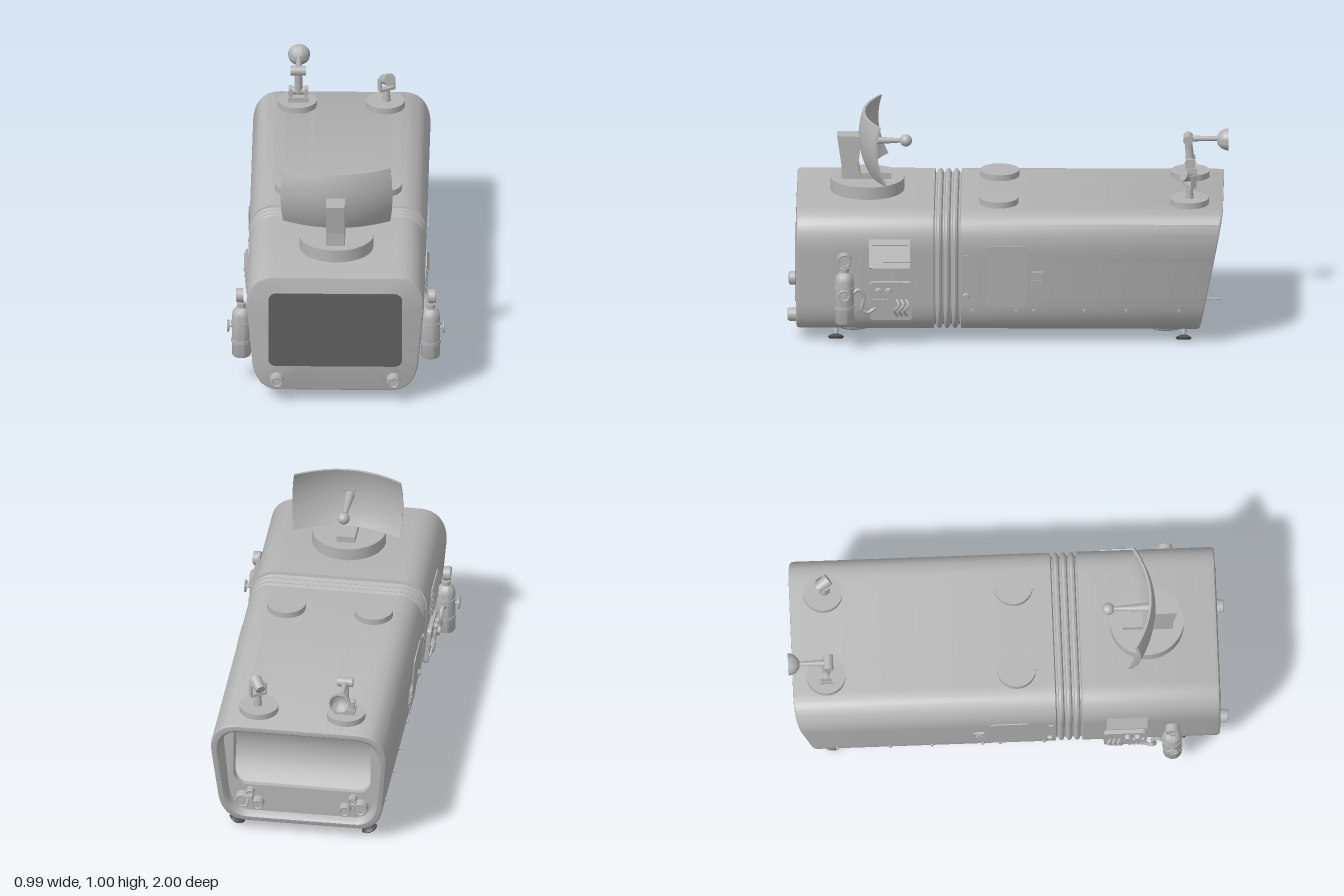
import * as THREE from 'three';
import { toCreasedNormals } from 'three/addons/utils/BufferGeometryUtils.js';
import { RoundedBoxGeometry } from 'three/addons/geometries/RoundedBoxGeometry.js';

export function createModel() {
  const root = new THREE.Group();
  const grey = new THREE.MeshStandardMaterial({ color: 0xb4b4b4 });
  grey.name = 'hullGrey';
  grey.side = THREE.DoubleSide;
  const dark = new THREE.MeshStandardMaterial({ color: 0x606060 });
  dark.name = 'screenDark';
  const rubber = new THREE.MeshStandardMaterial({ color: 0x505050 });
  rubber.name = 'footDark';

  const V = (x, y, z) => new THREE.Vector3(x, y, z);
  function add(name, geo, x = 0, y = 0, z = 0, parent = root, mat = grey) {
    const m = new THREE.Mesh(geo, mat);
    m.name = name;
    m.position.set(x, y, z);
    parent.add(m);
    return m;
  }
  function group(name, x = 0, y = 0, z = 0, parent = root) {
    const g = new THREE.Group();
    g.name = name;
    g.position.set(x, y, z);
    parent.add(g);
    return g;
  }
  const box = (x, y, z) => new THREE.BoxGeometry(x, y, z);
  const cyl = (r0, r1, h, n = 32) => new THREE.CylinderGeometry(r0, r1, h, n);
  const cylX = (r0, r1, h, n = 24) => cyl(r0, r1, h, n).rotateZ(-Math.PI / 2);
  const cylZ = (r0, r1, h, n = 24) => cyl(r0, r1, h, n).rotateX(Math.PI / 2);
  const lathe = (pts, n = 32) => toCreasedNormals(new THREE.LatheGeometry(pts.map(p => new THREE.Vector2(...p)), n), 0.6);
  const tube = (pts, r, n = 24) => new THREE.TubeGeometry(new THREE.CatmullRomCurve3(pts), n, r, 8);

  function rod(name, a, b, ra, rb, parent = root, mat = grey) {
    const m = add(name, cyl(rb, ra, a.distanceTo(b), 16), 0, 0, 0, parent, mat);
    m.position.copy(a).lerp(b, 0.5);
    m.quaternion.setFromUnitVectors(V(0, 1, 0), b.clone().sub(a).normalize());
    return m;
  }
  function roundRect(x0, y0, x1, y1, r, S = THREE.Shape) {
    const s = new S();
    s.moveTo(x0 + r, y0);
    s.lineTo(x1 - r, y0).absarc(x1 - r, y0 + r, r, -Math.PI / 2, 0);
    s.lineTo(x1, y1 - r).absarc(x1 - r, y1 - r, r, 0, Math.PI / 2);
    s.lineTo(x0 + r, y1).absarc(x0 + r, y1 - r, r, Math.PI / 2, Math.PI);
    s.lineTo(x0, y0 + r).absarc(x0 + r, y0 + r, r, Math.PI, Math.PI * 1.5);
    return s;
  }
  const extrude = (s, depth) => new THREE.ExtrudeGeometry(s, { depth, bevelEnabled: false, curveSegments: 8 });
  // Shape drawn in (z, y), thick along x from 0 to d
  const plateX = (s, d) => extrude(s, d).rotateY(-Math.PI / 2).translate(d, 0, 0);

  // Skin over scaled copies of one outline; rings are [scaleX, scaleY, z(y)]
  function loft(pts, rings, cy) {
    const pos = [], idx = [], n = pts.length;
    for (const [sx, sy, z] of rings) for (const p of pts) {
      const y = cy + (p.y - cy) * sy;
      pos.push(p.x * sx, y, typeof z === 'function' ? z(y) : z);
    }
    for (let k = 0; k < rings.length - 1; k++) for (let i = 0; i < n; i++) {
      const a = k * n + i, b = k * n + (i + 1) % n;
      idx.push(a, a + n, b + n, a, b + n, b);
    }
    const g = new THREE.BufferGeometry();
    g.setAttribute('position', new THREE.Float32BufferAttribute(pos, 3));
    g.setIndex(idx);
    return toCreasedNormals(g, 0.6);
  }

  // Hull: rounded section, ribbed joint, slanted tail with a deep rim
  const hull = new THREE.Shape();
  hull.moveTo(0, 0.055);
  hull.lineTo(0.26, 0.055).bezierCurveTo(0.335, 0.055, 0.37, 0.12, 0.378, 0.2);
  hull.lineTo(0.402, 0.46).bezierCurveTo(0.41, 0.56, 0.37, 0.63, 0.28, 0.63);
  hull.lineTo(-0.28, 0.63).bezierCurveTo(-0.37, 0.63, -0.41, 0.56, -0.402, 0.46);
  hull.lineTo(-0.378, 0.2).bezierCurveTo(-0.37, 0.12, -0.335, 0.055, -0.26, 0.055);
  const outline = hull.getSpacedPoints(120).slice(0, -1);
  const ring = (inset, z) => [1 - inset / 0.4, 1 - inset / 0.2875, z];
  const tail = d => y => -0.98 + (0.63 - y) * 0.19 + d;
  const wallZ = -0.84;
  const rings = [[0.001, 0.001, 0.96], ring(0.012, 0.96), ring(0.004, 0.956), ring(0, 0.945), ring(0, 0.335)];
  for (let i = 0; i < 3; i++) {
    const z = 0.325 - i * 0.036;
    rings.push(ring(0.016, z + 0.006), ring(0.016, z), ring(0.004, z - 0.006), ring(0, z - 0.015), ring(0.004, z - 0.024));
  }
  rings.push(ring(0.016, 0.223), ring(0.016, 0.217), ring(0, 0.212), ring(0, tail(0.01)), ring(0.004, tail(0.002)),
    ring(0.01, tail(0)), ring(0.026, tail(0)), ring(0.034, tail(0.008)), ring(0.045, wallZ));
  add('hull', loft(outline, rings, 0.3425));

  // Tail wall with a scooped rear window
  const inner = new THREE.Shape(outline.map(p => new THREE.Vector2(p.x * 0.89, 0.3425 + (p.y - 0.3425) * 0.85)));
  const win = roundRect(-0.315, 0.235, 0.315, 0.56, 0.06);
  inner.holes.push(roundRect(-0.315, 0.235, 0.315, 0.56, 0.06, THREE.Path));
  add('tailWall', extrude(inner, 0.01), 0, 0, wallZ - 0.003);
  const scoop = y => wallZ + 0.02 + 0.07 * Math.sin(Math.PI * THREE.MathUtils.clamp((y - 0.235) / 0.325, 0, 1));
  const scoopRings = [[1, 1, wallZ]];
  for (let i = 0; i <= 10; i++) scoopRings.push([1.001 - i / 10, 1.001 - i / 10, scoop]);
  add('rearWindow', loft(win.getSpacedPoints(100).slice(0, -1), scoopRings, 0.3975));
  for (const s of [-1, 1]) for (const [x, y, r] of [[0.27, 0.165, 0.036], [0.2, 0.15, 0.028], [0.235, 0.205, 0.02]]) {
    add('tailLamp', cylZ(r, r * 0.85, 0.035), s * x, y, wallZ - 0.018);
    add('tailLampRim', new THREE.TorusGeometry(r * 0.8, 0.005, 8, 24), s * x, y, wallZ - 0.036);
  }
  add('tailProbeBase', box(0.04, 0.03, 0.05), 0.24, 0.19, -0.88);
  rod('tailProbe', V(0.24, 0.19, -0.88), V(0.24, 0.185, -0.97), 0.007, 0.003);

  // Front screen and headlights
  add('frontScreen', extrude(roundRect(-0.304, 0.18, 0.304, 0.545, 0.035), 0.006), 0, 0, 0.957, root, dark);
  for (const s of [-1, 1]) {
    add('headlight', cylZ(0.03, 0.033, 0.04), s * 0.265, 0.115, 0.975);
    add('headlightRim', new THREE.TorusGeometry(0.023, 0.005, 8, 28), s * 0.265, 0.115, 0.995);
  }

  // Roof turntable with curved reflector
  add('turntable', cyl(0.168, 0.168, 0.062, 48), 0, 0.658, 0.64);
  const post = new THREE.Shape([[0.67, 0.68], [0.757, 0.68], [0.757, 0.75], [0.777, 0.89], [0.665, 0.89], [0.68, 0.76]].map(p => new THREE.Vector2(...p)));
  add('reflectorPost', plateX(post, 0.085), -0.045);
  add('turntableBlock', box(0.085, 0.03, 0.14), 0, 0.703, 0.6);
  const dish = new THREE.BoxGeometry(0.5, 0.28, 0.012, 20, 12, 1);
  const dp = dish.attributes.position;
  for (let i = 0; i < dp.count; i++) {
    const u = dp.getX(i) / 0.25, v = dp.getY(i) / 0.14;
    dp.setX(i, u * (0.254 - 0.01 * v * v));
    dp.setZ(i, dp.getZ(i) + 0.672 - 0.075 * u * u - 0.03 * v * v + 0.014 * v);
  }
  add('reflector', toCreasedNormals(dish, 0.6), 0, 0.86, 0);
  rod('feedArm', V(0, 0.86, 0.67), V(0, 0.86, 0.48), 0.022, 0.009);
  add('feedBall', new THREE.SphereGeometry(0.028, 24, 16), 0, 0.86, 0.465);

  // Roof pads
  for (const x of [-0.2, 0.2]) for (const z of [0.04, -0.825]) add('roofPad', cyl(0.088, 0.088, 0.03, 40), x, 0.643, z);

  // Jointed horn
  const horn = group('hornArm', -0.195, 0, -0.825);
  add('hornBase', box(0.095, 0.025, 0.06), 0, 0.668, 0, horn);
  for (const s of [-1, 1]) add('hornBracket', box(0.015, 0.05, 0.045), s * 0.035, 0.695, 0, horn);
  add('hornPivot', cylX(0.018, 0.018, 0.09), 0, 0.705, 0, horn);
  rod('hornLowerArm', V(0, 0.7, 0), V(0, 0.81, 0.01), 0.02, 0.016, horn);
  add('hornElbow', cylX(0.022, 0.022, 0.07), 0, 0.81, 0.01, horn);
  rod('hornUpperArm', V(0, 0.81, 0.01), V(0, 0.81, -0.13), 0.014, 0.01, horn);
  const bowl = lathe([[0.001, 0], [0.022, 0.006], [0.04, 0.022], [0.049, 0.04], [0.05, 0.055], [0.044, 0.055], [0.036, 0.032], [0.02, 0.018], [0.001, 0.014]]);
  add('hornBowl', bowl.rotateX(-Math.PI / 2), 0, 0.806, -0.118, horn);

  // Spotlight in a forked stand
  const spot = group('spotlight', 0.205, 0, -0.825);
  add('spotStem', cyl(0.014, 0.02, 0.06, 16), 0, 0.685, 0, spot);
  const fork = group('spotFork', 0, 0.76, 0, spot);
  fork.rotation.y = 0.55;
  add('forkBar', box(0.075, 0.014, 0.03), 0, -0.042, 0, fork);
  for (const s of [-1, 1]) add('forkSide', box(0.008, 0.06, 0.028), s * 0.035, -0.018, 0, fork);
  const lamp = add('spotLamp', cylZ(0.029, 0.022, 0.065), 0, 0.004, 0, fork);
  lamp.rotation.x = -0.35;

  // Side equipment, built for +x and mirrored
  for (const s of [1, -1]) {
    const side = group(s > 0 ? 'leftEquipment' : 'rightEquipment');
    side.scale.x = s;

    // Gas bottle with wheel and gauge
    const bottle = group('gasBottle', 0.43, 0.13, 0.74, side);
    add('bottle', lathe([[0.001, 0], [0.04, 0], [0.043, 0.006], [0.043, 0.2], [0.038, 0.222], [0.024, 0.237], [0.02, 0.24], [0.02, 0.262], [0.001, 0.262]]), 0, 0, 0, bottle);
    for (const y of [0.075, 0.165]) add('bottleBand', cyl(0.046, 0.046, 0.014), 0, y, 0, bottle);
    add('bottleBracket', box(0.06, 0.07, 0.04), -0.04, 0.12, 0, bottle);
    add('gaugeStem', cyl(0.01, 0.012, 0.04, 12), 0, 0.27, 0, bottle);
    add('gauge', cylX(0.032, 0.032, 0.03), 0.005, 0.3, 0, bottle);
    add('gaugeRim', new THREE.TorusGeometry(0.027, 0.004, 8, 24).rotateY(Math.PI / 2), 0.02, 0.3, 0, bottle);
    rod('wheelAxle', V(0.03, 0.145, 0), V(0.065, 0.145, 0), 0.009, 0.007, bottle);
    add('wheel', new THREE.TorusGeometry(0.024, 0.005, 8, 24).rotateY(Math.PI / 2), 0.06, 0.145, 0, bottle);
    add('wheelSpoke', box(0.006, 0.046, 0.007), 0.06, 0.145, 0, bottle);
    add('wheelSpoke', box(0.006, 0.007, 0.046), 0.06, 0.145, 0, bottle);
    add('hose', tube([V(0.43, 0.27, 0.7), V(0.425, 0.285, 0.675), V(0.42, 0.25, 0.65), V(0.415, 0.19, 0.66), V(0.41, 0.17, 0.635), V(0.4, 0.19, 0.6)], 0.009), 0, 0, 0, side);

    // Tilted wall frame that follows the flank; local x is outwards
    const wall = group('flank', 0.388, 0.3, 0, side);
    wall.rotation.z = -0.092;
    const Y = y => y - 0.3;
    for (let i = 0; i < 5; i++) {
      const l = add('louvre', box(0.006, 0.028, 0.185), 0.006, Y(0.396 + i * 0.028), 0.535, wall);
      l.rotation.z = 0.5;
    }
    add('controlPanel', plateX(roundRect(0.43, Y(0.13), 0.625, Y(0.315), 0.02), 0.03), -0.012, 0, 0, wall);
    for (const z of [0.585, 0.54]) add('knob', cylX(0.014, 0.017, 0.02), 0.026, Y(0.272), z, wall);
    for (let i = 0; i < 4; i++) add('switchBar', box(0.014, 0.08, 0.013), 0.022, Y(0.195), 0.605 - i * 0.019, wall);
    for (let i = 0; i < 3; i++) {
      const z = 0.505 - i * 0.022;
      add('cable', tube([V(0.014, Y(0.23), z), V(0.035, Y(0.21), z - 0.012), V(0.03, Y(0.18), z + 0.008), V(0.014, Y(0.15), z - 0.006)], 0.006, 14), 0, 0, 0, wall);
    }

    // Door, keypad and bolts
    add('door', plateX(roundRect(-0.088, Y(0.192), 0.102, Y(0.49), 0.03), 0.005), 0, 0, 0, wall);
    add('keypad', plateX(roundRect(-0.162, Y(0.29), -0.11, Y(0.365), 0.005), 0.009), 0, 0, 0, wall);
    add('keypadSlot', box(0.012, 0.02, 0.03), 0.006, Y(0.345), -0.136, wall);
    for (const z of [-0.126, -0.146]) add('keypadKey', box(0.01, 0.025, 0.012), 0.008, Y(0.312), z, wall);
    add('boltLarge', cylX(0.012, 0.016, 0.012), 0.005, Y(0.24), 0.188, wall);
    add('latch', box(0.008, 0.01, 0.022), 0.003, Y(0.44), 0.188, wall);
    for (const z of [0.16, -0.04, -0.12, -0.35, -0.54, -0.78]) add('bolt', cylX(0.007, 0.009, 0.02, 12), -0.004, Y(0.172), z, wall);

    // Splayed feet
    for (const z of [0.78, -0.8]) {
      rod('leg', V(0.282, 0.075, z), V(0.302, 0.024, z), 0.015, 0.01, side);
      const foot = add('foot', lathe([[0.001, -0.008], [0.03, -0.008], [0.037, -0.001], [0.03, 0.006], [0.012, 0.014], [0.001, 0.014]]), 0.303, 0.021, z, side, rubber);
      foot.rotation.z = 0.36;
    }

    // Underside thruster cups
    for (const z of [0.7, -0.72]) {
      add('thrusterCup', lathe([[0.09, 0.03], [0.088, 0.012], [0.075, 0.002], [0.062, 0], [0.05, 0.014], [0.024, 0.016], [0.02, 0.004], [0.001, 0.004]]), 0.165, 0.03, z, side);
    }
  }

  // Belly hatch with grille and pull handle
  add('bellyHatch', new RoundedBoxGeometry(0.4, 0.03, 0.27, 3, 0.012), 0, 0.05, -0.42);
  for (let i = 0; i < 5; i++) add('hatchSlat', box(0.26, 0.01, 0.02), 0, 0.033, -0.5 + i * 0.04);
  add('hatchTongue', box(0.1, 0.016, 0.07), 0, 0.045, -0.12);
  add('hatchHandle', tube([V(-0.07, 0.055, -0.28), V(-0.06, 0.037, -0.22), V(0, 0.034, -0.19), V(0.06, 0.037, -0.22), V(0.07, 0.055, -0.28)], 0.008));

  return root;
}
